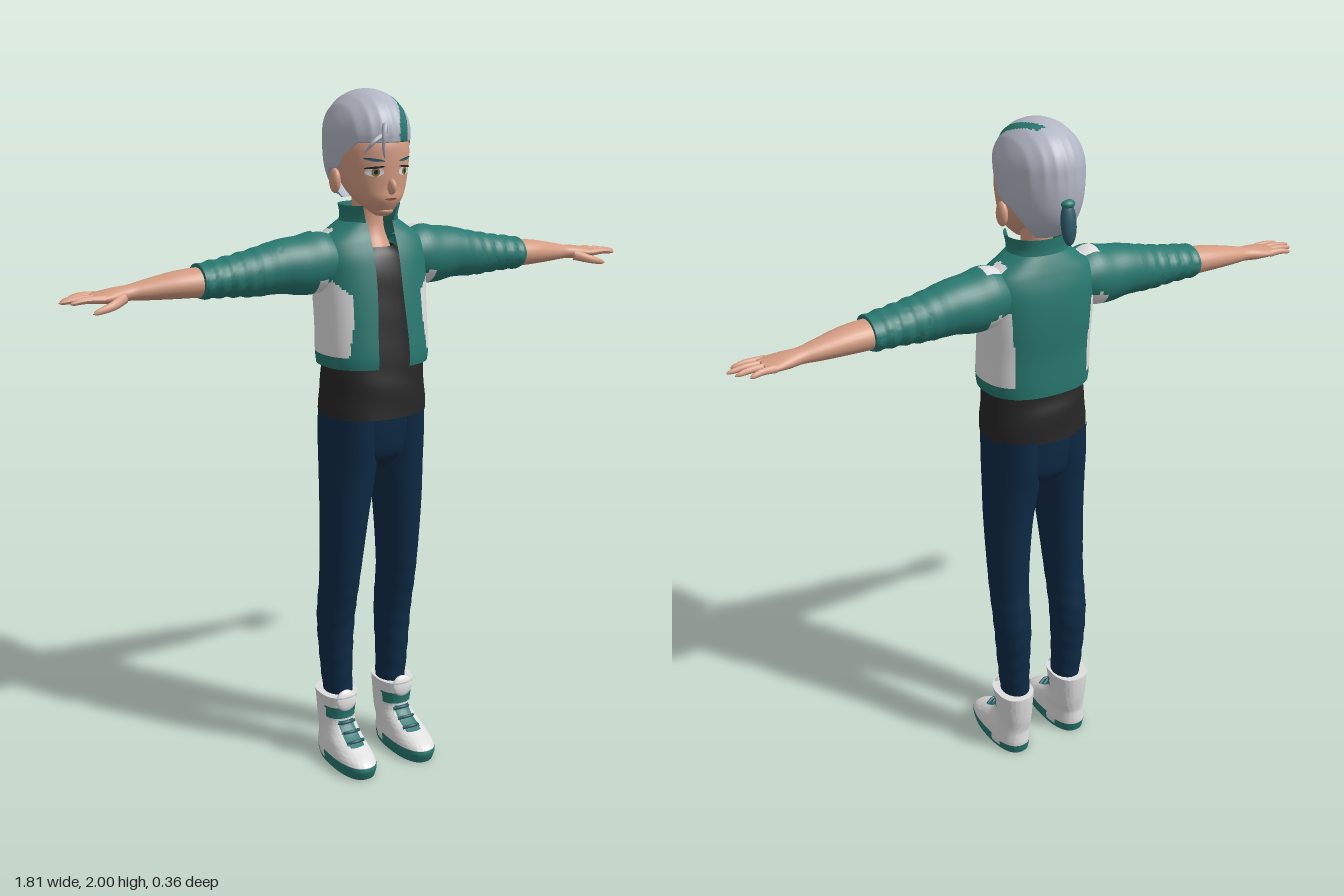
import * as THREE from 'three';
import { toCreasedNormals } from 'three/addons/utils/BufferGeometryUtils.js';

const mat = (name, color, side = THREE.FrontSide) => {
  const m = new THREE.MeshStandardMaterial({ color, side });
  m.name = name;
  return m;
};
const skin = mat('skin', 0xd49c82);
const silver = mat('silver hair', 0xb2b6c3, THREE.DoubleSide);
const teal = mat('teal', 0x28786f, THREE.DoubleSide);
const white = mat('white', 0xdedede, THREE.DoubleSide);
const navy = mat('navy', 0x0e2a45);
const black = mat('black', 0x272626, THREE.DoubleSide);
const slate = mat('slate teal', 0x2c5a68);
const amber = mat('amber', 0x8c7b4c);
const rose = mat('rose', 0x8f5146);

const { clamp, lerp, smoothstep } = THREE.MathUtils;

// Catmull-Rom through rows of numbers, giving n + 1 rows
function spline(rows, n) {
  const last = rows.length - 1;
  return Array.from({ length: n + 1 }, (_, k) => {
    const f = (k / n) * last, i = Math.min(Math.floor(f), last - 1), t = f - i;
    const r = (j) => rows[clamp(j, 0, last)];
    return rows[0].map((_, c) => {
      const [p, q, s, w] = [r(i - 1)[c], r(i)[c], r(i + 1)[c], r(i + 2)[c]];
      return q + 0.5 * t * (s - p + t * (2 * p - 5 * q + 4 * s - w + t * (3 * (q - s) + w - p)));
    });
  });
}

// Row of a sampled profile at a given height
function rowAt(rows, y) {
  let i = 0;
  while (i < rows.length - 2 && rows[i + 1][0] < y) i++;
  const t = clamp((y - rows[i][0]) / (rows[i + 1][0] - rows[i][0]), 0, 1);
  return rows[i].map((v, c) => lerp(v, rows[i + 1][c], t));
}

// Grid surface; paint(centre) picks the material of each cell
function surface(name, mats, nu, nv, closed, fn, paint, crease) {
  const pos = [], cols = closed ? nu : nu + 1, list = [].concat(mats);
  for (let j = 0; j <= nv; j++) for (let i = 0; i < cols; i++) pos.push(...fn(i / nu, j, nv));
  const buckets = list.map(() => []);
  for (let j = 0; j < nv; j++) for (let i = 0; i < nu; i++) {
    const a = j * cols + i, b = j * cols + ((i + 1) % cols), c = b + cols, d = a + cols;
    const mid = [0, 1, 2].map((k) => (pos[a * 3 + k] + pos[b * 3 + k] + pos[c * 3 + k] + pos[d * 3 + k]) / 4);
    buckets[paint ? paint(...mid) : 0].push(a, b, c, a, c, d);
  }
  let geo = new THREE.BufferGeometry();
  geo.setAttribute('position', new THREE.Float32BufferAttribute(pos, 3));
  geo.setIndex(buckets.flat());
  let start = 0;
  if (list.length > 1) buckets.forEach((b, k) => { geo.addGroup(start, b.length, k); start += b.length; });
  geo.computeVertexNormals();
  if (crease) geo = toCreasedNormals(geo, crease);
  const mesh = new THREE.Mesh(geo, mats);
  mesh.name = name;
  return mesh;
}

// Loft through rows [position, centre, centre z, half size, half depth] along y or x
function loft(name, mats, rows, o = {}) {
  const { n = 30, seg = 40, e = 2, axis = 'y', cap = '', gap, ripple, paint, crease } = o;
  const rings = spline(rows, n);
  const close = (r) => [r[0], r[1], r[2], r[3] * 0.02, r[4] * 0.02];
  if (cap.includes('s')) rings.unshift(close(rings[0]));
  if (cap.includes('e')) rings.push(close(rings[rings.length - 1]));
  const pw = (v) => Math.sign(v) * Math.abs(v) ** (2 / e);
  return surface(name, mats, seg, rings.length - 1, !gap, (u, j) => {
    const [p, c, cz, a, b] = rings[j];
    const t0 = gap ? Math.asin((gap(p) / a) ** (e / 2)) : 0;
    const t = lerp(t0, Math.PI * 2 - t0, u), k = ripple ? 1 + ripple(p, t) : 1;
    const w = a * k * pw(Math.sin(t)), z = cz + b * k * pw(Math.cos(t));
    return axis === 'y' ? [c + w, p, z] : [p, c - w, z];
  }, paint, crease);
}

// Tapered round-ended strand through points
function strand(name, material, pts, r0, r1, seg = 14) {
  const curve = new THREE.CatmullRomCurve3(pts.map((p) => new THREE.Vector3(...p)));
  const geo = new THREE.TubeGeometry(curve, seg, 1, 8), P = geo.attributes.position, v = new THREE.Vector3();
  for (let i = 0; i < P.count; i++) {
    const u = Math.floor(i / 9) / seg, c = curve.getPointAt(u);
    v.fromBufferAttribute(P, i).sub(c).multiplyScalar(lerp(r0, r1, u) * Math.sqrt(1.001 - u ** 8)).add(c);
    P.setXYZ(i, v.x, v.y, v.z);
  }
  geo.computeVertexNormals();
  const mesh = new THREE.Mesh(geo, material);
  mesh.name = name;
  return mesh;
}

function ball(name, material, p, s, rx = 0) {
  const m = new THREE.Mesh(new THREE.SphereGeometry(1, 24, 16), material);
  m.name = name;
  m.position.set(...p);
  m.scale.set(...s);
  m.rotation.x = rx;
  return m;
}

const headRows = spline([[1.663, 0, .072, .018, .02], [1.685, 0, .058, .045, .05], [1.71, 0, .045, .068, .075],
  [1.74, 0, .03, .086, .09], [1.78, 0, .015, .098, .108], [1.82, 0, .01, .104, .115], [1.86, 0, .004, .104, .118],
  [1.91, 0, 0, .09, .1], [1.95, 0, 0, .05, .06]], 48);
const hairRows = spline([[1.69, 0, -.04, .05, .04], [1.72, 0, -.038, .074, .078], [1.75, 0, -.033, .092, .106],
  [1.79, 0, -.025, .106, .128], [1.84, 0, -.018, .113, .141], [1.88, 0, -.014, .115, .144]], 30);

// Thin oval that follows the face
function facePatch(name, material, x, y, rx, ry, lift, tilt = 0) {
  const geo = new THREE.CircleGeometry(1, 24).scale(rx, ry, 1).rotateZ(tilt).translate(x, y, 0);
  const P = geo.attributes.position;
  for (let i = 0; i < P.count; i++) {
    const [, , cz, a, b] = rowAt(headRows, P.getY(i));
    P.setZ(i, cz + b * Math.sqrt(Math.max(0, 1 - (P.getX(i) / a) ** 2)) + lift);
  }
  geo.computeVertexNormals();
  const m = new THREE.Mesh(geo, material);
  m.name = name;
  return m;
}

// Swept-back hair cap with strand grooves and a coloured streak
function hairCap() {
  const hairline = (t) => {
    const d = Math.abs(t > Math.PI ? t - Math.PI * 2 : t);
    return 1.862 - 0.075 * smoothstep(d, 0.75, 1.4) - 0.087 * smoothstep(d, 1.6, 2.3);
  };
  return surface('hair', [silver, teal], 160, 56, true, (u, j, nv) => {
    const t = u * Math.PI * 2, lo = hairline(t);
    const v = Math.max(0, j - 1) / (nv - 1), y = lo + (2 - lo) * Math.sin(v * Math.PI / 2);
    let [, , cz, a, b] = rowAt(hairRows, y);
    const f = y > 1.88 ? Math.sqrt(Math.max(0, 1 - ((y - 1.88) / .12) ** 2)) : 1;
    const x = a * f * Math.sin(t), groove = 1 - 0.018 * Math.abs(Math.sin(x * 110)) * smoothstep(y, 1.8, 1.9);
    const k = f * groove * (j === 0 ? 0.9 : 1);
    return [a * k * Math.sin(t), y, cz + b * k * Math.cos(t)];
  }, (x, y, z) => {
    const c = .062 - (z > .05 ? 4.5 : 2.6) * (z - .05) ** 2;
    return y > 1.85 && z > -.07 && Math.abs(x - c) < .012 ? 1 : 0;
  });
}

// Shared colour rule of the jacket: side panels and shoulder patches
function jacketPaint(x, y, z) {
  const w = Math.abs(x);
  const panel = y > 1.282 && y < 1.505 - Math.max(0, z - .05) && w > .112 && w < .19 && z > -.085 && z < .112;
  const patch = y > 1.59 && w > .115 && w < .178 && z > -.042 && z < .008;
  return panel || patch ? 1 : 0;
}

function bootPaint(x, y, z) {
  if (y < .012 || (z > .01 && y < .04) || (z < -.03 && y < .03)) return 1;
  if (z > -.005 && y > .14 && y < .182) return 1;
  return y > .075 && y < .135 && z > .02 && Math.abs(x - .1) < .026 ? 1 : 0;
}

// One arm, leg and side of the face, built on +x
function sideParts() {
  const g = new THREE.Group();
  g.add(loft('sleeve', [teal, white], [[.09, 1.54, -.005, .055, .07], [.16, 1.537, -.008, .085, .083],
    [.22, 1.53, -.01, .082, .08], [.28, 1.531, -.012, .074, .074], [.36, 1.521, -.012, .065, .067],
    [.44, 1.516, -.012, .054, .063], [.5, 1.512, -.012, .049, .062], [.52, 1.511, -.012, .046, .059]],
  { axis: 'x', n: 80, cap: 'e', crease: 1, paint: jacketPaint,
    ripple: (x, t) => .035 * smoothstep(x, .26, .44) * Math.sin(x * 150 + Math.sin(t) * 1.2) }));
  g.add(loft('forearmAndPalm', skin, [[.5, 1.509, -.012, .041, .05], [.58, 1.507, -.015, .037, .047],
    [.66, 1.501, -.02, .028, .035], [.71, 1.497, -.022, .021, .028], [.75, 1.494, -.021, .02, .037],
    [.79, 1.492, -.02, .015, .044], [.815, 1.492, -.02, .01, .041]], { axis: 'x', cap: 'e', seg: 28 }));
  [[-.054, -.067, .862], [-.031, -.036, .89], [-.008, -.01, .903], [.014, .017, .882]].forEach(([z0, z1, x]) =>
    g.add(strand('finger', skin, [[.79, 1.492, z0], [(x + .8) / 2, 1.494, (z0 + z1) / 2], [x, 1.488, z1]], .0115, .007)));
  g.add(strand('thumb', skin, [[.735, 1.488, .003], [.775, 1.475, .03], [.83, 1.461, .038]], .016, .008));

  g.add(loft('trouserLeg', navy, [[.19, .092, -.026, .042, .05], [.3, .098, -.028, .047, .056],
    [.45, .1, -.026, .054, .066], [.6, .098, -.002, .057, .073], [.8, .09, .012, .068, .087],
    [.93, .08, .013, .078, .1], [1.02, .077, .013, .079, .112], [1.11, .076, .014, .076, .118]],
  { n: 70, cap: 's', ripple: (y, t) => .018 * (1 - smoothstep(y, .4, .75)) * Math.sin(y * 95 + Math.sin(t) * 2) }));

  g.add(loft('boot', [white, teal], [[0, .103, .044, .055, .127], [.03, .104, .046, .06, .135], [.05, .104, .04, .058, .128],
    [.075, .103, .015, .054, .1], [.1, .1, -.012, .051, .077], [.13, .1, -.028, .05, .066],
    [.18, .1, -.028, .053, .07], [.215, .1, -.026, .057, .073]],
  { n: 48, seg: 56, e: 2.4, cap: 'se', crease: .8, paint: bootPaint }));
  g.add(ball('bootTongue', white, [.1, .2, .036], [.034, .033, .012], -.15));
  for (let i = 0; i < 3; i++) {
    const y = .085 + i * .02, z = .1 - i * .028;
    g.add(strand('lace', slate, [[.07, y, z - .012], [.1, y + .006, z], [.13, y, z - .012]], .005, .005, 8));
  }

  g.add(ball('ear', skin, [.106, 1.756, -.002], [.014, .034, .022]));
  g.add(facePatch('eyeWhite', white, .046, 1.785, .023, .012, .002));
  g.add(facePatch('iris', amber, .045, 1.785, .0105, .0115, .004));
  g.add(facePatch('pupil', black, .045, 1.785, .005, .006, .0055));
  g.add(facePatch('upperLash', black, .047, 1.797, .025, .003, .005, -.1));
  g.add(facePatch('brow', slate, .048, 1.817, .026, .004, .004, .15));
  return g;
}

export function createModel() {
  const model = new THREE.Group();
  model.name = 'figure';

  // Head, face and neck
  model.add(surface('head', skin, 48, 48, true, (u, j) => {
    const [y, , cz, a, b] = headRows[j], t = u * Math.PI * 2;
    return [a * Math.sin(t), y, cz + b * Math.cos(t)];
  }));
  model.add(ball('chin', skin, [0, 1.677, .08], [.028, .014, .026]));
  model.add(ball('nose', skin, [0, 1.745, .122], [.011, .022, .021], -.3));
  model.add(facePatch('mouth', rose, 0, 1.711, .019, .003, .003));
  model.add(loft('neck', skin, [[1.5, 0, .005, .07, .075], [1.56, 0, .002, .062, .068], [1.61, 0, -.003, .047, .05],
    [1.65, 0, -.005, .043, .045], [1.72, 0, -.005, .045, .05]]));

  // Hair
  model.add(hairCap());
  model.add(strand('foreLock', silver, [[-.02, 1.89, .118], [-.036, 1.91, .148], [-.046, 1.885, .16],
    [-.044, 1.85, .153], [-.03, 1.82, .138]], .009, .003, 24));
  model.add(strand('sideLock', silver, [[-.03, 1.88, .12], [-.06, 1.865, .128], [-.075, 1.835, .105]], .008, .003));
  model.add(ball('ponytail', slate, [0, 1.757, -.162], [.022, .06, .018], .12));
  model.add(ball('hairTie', teal, [0, 1.808, -.158], [.02, .012, .016]));

  // Clothes on the trunk
  model.add(loft('shirt', black, [[1.1, 0, .018, .156, .132], [1.18, 0, .018, .152, .127], [1.25, 0, .02, .146, .117],
    [1.4, 0, .01, .136, .106], [1.5, 0, .005, .13, .096], [1.55, 0, .003, .1, .084], [1.575, 0, .002, .066, .068]],
  { e: 2.3, ripple: (y, t) => .008 * Math.sin(y * 60 + Math.sin(t) * 3) }));
  model.add(loft('trouserSeat', navy, [[.935, 0, .01, .06, .06], [.98, 0, .012, .128, .1], [1.04, 0, .013, .149, .113],
    [1.12, 0, .014, .15, .12]], { cap: 's', e: 2.2 }));
  model.add(loft('jacket', [teal, white], [[1.245, 0, .018, .16, .128], [1.28, 0, .018, .164, .129], [1.36, 0, .013, .164, .124],
    [1.44, 0, .005, .166, .12], [1.5, 0, 0, .17, .114], [1.55, 0, -.003, .176, .105], [1.59, 0, -.005, .162, .092],
    [1.62, 0, -.006, .122, .08], [1.645, 0, -.004, .084, .071]],
  { n: 72, seg: 128, e: 2.4, gap: (y) => .05 - .01 * smoothstep(y, 1.28, 1.5), paint: jacketPaint }));
  model.add(loft('collar', teal, [[1.635, 0, -.004, .088, .072], [1.66, 0, 0, .082, .074], [1.69, 0, .002, .088, .078]],
    { n: 12, e: 2.2, gap: (y) => .042 + (y - 1.635) * .25 }));

  // Mirrored limbs and face halves
  for (const [name, s] of [['leftSide', 1], ['rightSide', -1]]) {
    const half = sideParts();
    half.name = name;
    half.scale.x = s;
    model.add(half);
  }
  return model;
}
